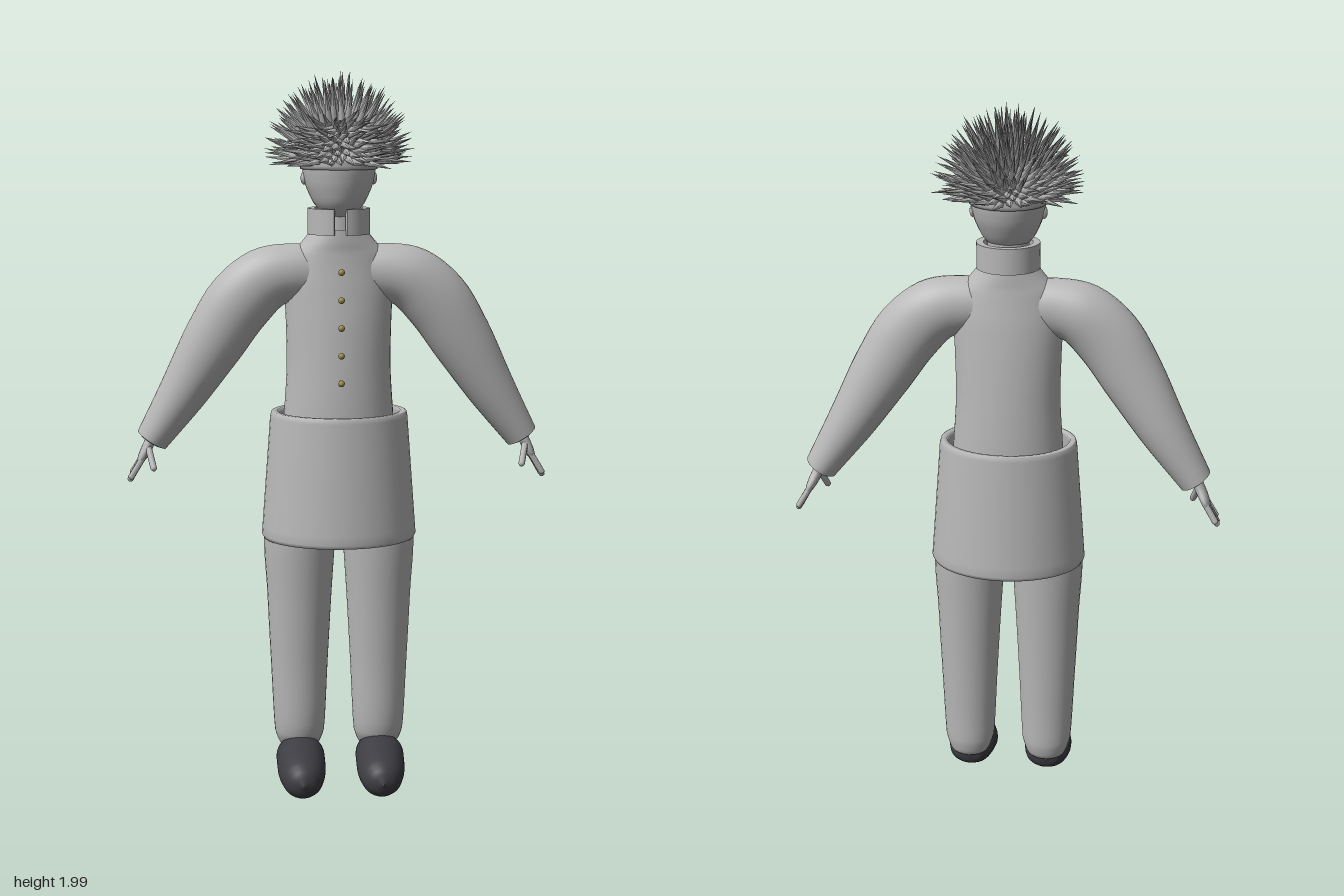
import * as THREE from 'three';
import { mergeGeometries } from 'three/addons/utils/BufferGeometryUtils.js';

const V = (x, y, z) => new THREE.Vector3(x, y, z);
const X = V(1, 0, 0), Y = V(0, 1, 0), Z = V(0, 0, 1);

// Smooth skin over elliptical rings [x, y, z, radius along u, radius across u]
function loft(rings, u, fixedDir, seg = 32) {
  const pos = [], idx = [];
  const p = rings.map(r => V(r[0], r[1], r[2]));
  rings.forEach((r, i) => {
    const dir = fixedDir ? fixedDir.clone() :
      p[Math.min(i + 1, p.length - 1)].clone().sub(p[Math.max(i - 1, 0)]).normalize();
    const v = u.clone().cross(dir).normalize();
    for (let j = 0; j < seg; j++) {
      const a = j / seg * Math.PI * 2;
      const q = p[i].clone().addScaledVector(u, r[3] * Math.cos(a)).addScaledVector(v, r[4] * Math.sin(a));
      pos.push(q.x, q.y, q.z);
      if (i < rings.length - 1) {
        const a0 = i * seg + j, b0 = i * seg + (j + 1) % seg;
        idx.push(a0, a0 + seg, b0, b0, a0 + seg, b0 + seg);
      }
    }
  });
  const g = new THREE.BufferGeometry();
  g.setAttribute('position', new THREE.Float32BufferAttribute(pos, 3));
  g.setIndex(idx);
  g.computeVertexNormals();
  return g;
}

// Resample rings along a smooth curve
function smoothRings(rings, n) {
  const a = new THREE.CatmullRomCurve3(rings.map(r => V(r[0], r[1], r[2])));
  const b = new THREE.CatmullRomCurve3(rings.map(r => V(r[3], r[4], 0)));
  return Array.from({ length: n + 1 }, (_, i) =>
    [...a.getPoint(i / n).toArray(), ...b.getPoint(i / n).toArray().slice(0, 2)]);
}

// Rounded rod between two points
function rod(from, to, r) {
  const d = to.clone().sub(from);
  const g = new THREE.CapsuleGeometry(r, d.length(), 4, 8);
  g.applyQuaternion(new THREE.Quaternion().setFromUnitVectors(Y, d.clone().normalize()));
  return g.translate(...from.clone().addScaledVector(d, 0.5).toArray());
}

function lathe(profile, z, depthScale) {
  return new THREE.LatheGeometry(profile.map(q => new THREE.Vector2(...q)), 48)
    .scale(1, 1, depthScale).translate(0, 0, z);
}

export function createModel() {
  const root = new THREE.Group();
  const grey = new THREE.MeshStandardMaterial({ color: 0xb8b8b8, side: THREE.DoubleSide });
  grey.name = 'light grey';
  const dark = new THREE.MeshStandardMaterial({ color: 0x3c3c42 });
  dark.name = 'dark shoe';
  const brass = new THREE.MeshStandardMaterial({ color: 0x9a8a45 });
  brass.name = 'dull brass';
  const add = (name, geo, mat = grey) => {
    const m = new THREE.Mesh(geo, mat);
    m.name = name;
    root.add(m);
    return m;
  };

  // Jacket body
  add('torso', loft(smoothRings([
    [0, 0.99, -0.02, 0.157, 0.112], [0, 1.08, -0.02, 0.15, 0.11], [0, 1.2, -0.02, 0.143, 0.103],
    [0, 1.32, -0.02, 0.145, 0.094], [0, 1.42, -0.02, 0.148, 0.084], [0, 1.5, -0.018, 0.13, 0.075],
    [0, 1.535, -0.016, 0.1, 0.074], [0, 1.57, -0.015, 0.072, 0.072]], 28), X, Y));

  // Open thick skirt of the jacket
  add('skirt', lathe([[0.195, 0.715], [0.21, 0.715], [0.215, 0.725], [0.213, 0.75], [0.19, 1.055], [0.187, 1.068],
    [0.183, 1.07], [0.17, 1.07], [0.167, 1.06], [0.195, 0.715]], -0.012, 0.82));

  // Neck and split standing collar
  add('neck', new THREE.CylinderGeometry(0.055, 0.06, 0.15, 32).translate(0, 1.57, -0.015));
  const gap = 0.21, start = -Math.PI / 2 + gap, end = Math.PI * 1.5 - gap;
  const ring = new THREE.Shape();
  ring.absarc(0, 0, 0.085, start, end, false);
  ring.absarc(0, 0, 0.066, end, start, true);
  add('collar', new THREE.ExtrudeGeometry(ring, { depth: 0.07, bevelEnabled: false, curveSegments: 40 })
    .rotateX(-Math.PI / 2).translate(0, 1.555, -0.015));

  // Buttons down the front
  for (let i = 0; i < 5; i++)
    add('button', new THREE.SphereGeometry(0.009, 12, 8).translate(0, 1.16 + i * 0.075, 0.1), brass);

  // Head
  add('head', loft(smoothRings([
    [0, 1.595, 0, 0.002, 0.002], [0, 1.605, 0, 0.038, 0.045], [0, 1.64, -0.003, 0.07, 0.078],
    [0, 1.69, -0.008, 0.092, 0.098], [0, 1.74, -0.01, 0.1, 0.106], [0, 1.8, -0.01, 0.09, 0.095],
    [0, 1.855, -0.01, 0.03, 0.03]], 28), X, Y));

  // Scalp cap with a rim
  const cap = [[0.094, 1.735], [0.104, 1.73], [0.107, 1.74]];
  for (let i = 1; i <= 12; i++) {
    const a = i / 12 * Math.PI / 2;
    cap.push([0.107 * Math.cos(a), 1.745 + 0.12 * Math.sin(a)]);
  }
  add('scalp', lathe(cap, -0.01, 1.05));

  // Spiky hair: swept up and back, with a low fringe pushed forward
  let seed = 7;
  const rnd = () => (seed = (seed * 16807) % 2147483647) / 2147483647;
  const spikes = [], count = 340;
  for (let i = 0; i < count; i++) {
    const y = (i + 0.5) / count, r = Math.sqrt(1 - y * y), a = i * 2.39996;
    const d = V(r * Math.cos(a), y, r * Math.sin(a));
    const fringe = d.z > 0.42;
    const dir = fringe ? V(d.x, d.y * 0.3 - 0.08, d.z) : V(d.x, d.y * 1.4, d.z - 0.15);
    dir.add(V(rnd() - 0.5, rnd() - 0.5, rnd() - 0.5).multiplyScalar(0.3)).normalize();
    const len = 0.085 + 0.03 * rnd() + (fringe ? 0 : 0.025 * y);
    const g = new THREE.ConeGeometry(0.0115, len, 5).translate(0, len / 2 - 0.008, 0);
    g.applyQuaternion(new THREE.Quaternion().setFromUnitVectors(Y, dir));
    spikes.push(g.translate(d.x * 0.104, 1.748 + d.y * 0.115, d.z * 0.109 - 0.01));
  }
  add('hair', mergeGeometries(spikes));

  for (const s of [1, -1]) {
    const side = s > 0 ? 'left' : 'right';
    add(side + 'Ear', new THREE.SphereGeometry(0.016, 12, 8).scale(0.6, 1.1, 1).translate(s * 0.094, 1.705, -0.01));

    // Sleeve, closed at the cuff
    const sleeve = smoothRings([
      [0.06, 1.45, -0.018, 0.06, 0.075], [0.13, 1.45, -0.018, 0.068, 0.079], [0.2, 1.432, -0.02, 0.075, 0.087],
      [0.27, 1.37, -0.022, 0.075, 0.092], [0.34, 1.265, -0.03, 0.073, 0.086],
      [0.425, 1.125, -0.044, 0.067, 0.068], [0.517, 0.985, -0.056, 0.054, 0.046]], 30);
    sleeve.push([0.519, 0.982, -0.056, 0.045, 0.036], [0.515, 0.992, -0.056, 0, 0]);
    const cuffDir = V(s * 0.55, -0.835, 0);
    const body = sleeve.slice(0, -2).map(r => [s * r[0], ...r.slice(1)]);
    add(side + 'Sleeve', loft(body, Z));
    add(side + 'Cuff', loft([body[body.length - 1], ...sleeve.slice(-2).map(r => [s * r[0], ...r.slice(1)])], Z, cuffDir));

    // Hand with four fingers and a thumb
    add(side + 'Palm', loft(smoothRings([
      [s * 0.512, 1.0, -0.06, 0.022, 0.016], [s * 0.528, 0.968, -0.062, 0.026, 0.015],
      [s * 0.543, 0.938, -0.07, 0.036, 0.013], [s * 0.552, 0.92, -0.073, 0.03, 0.009],
      [s * 0.555, 0.916, -0.073, 0.001, 0.001]], 14), Z, V(s * 0.44, -0.9, 0), 20));
    const tips = [0.882, 0.872, 0.872, 0.885];
    const fingers = tips.map((ty, i) => rod(V(s * 0.541, 0.938, -0.046 - i * 0.016),
      V(s * (0.579 - (ty - 0.872) * 0.4), ty, -0.046 - i * 0.02), 0.0085));
    fingers.push(rod(V(s * 0.527, 0.965, -0.045), V(s * 0.512, 0.913, -0.008), 0.009));
    add(side + 'Fingers', mergeGeometries(fingers));

    // Trouser leg
    add(side + 'Leg', loft(smoothRings([
      [s * 0.112, 0.085, -0.03, 0.002, 0.002], [s * 0.112, 0.1, -0.026, 0.05, 0.04],
      [s * 0.112, 0.15, -0.015, 0.07, 0.064], [s * 0.112, 0.35, -0.012, 0.08, 0.073],
      [s * 0.111, 0.55, -0.01, 0.09, 0.085], [s * 0.108, 0.75, -0.008, 0.1, 0.098],
      [s * 0.085, 0.92, -0.01, 0.085, 0.1], [s * 0.075, 1.02, -0.012, 0.075, 0.095]], 32), X, Y));

    // Shoe, toe down and heel raised
    add(side + 'Shoe', loft(smoothRings([
      [s * 0.112, 0.092, -0.052, 0.002, 0.002], [s * 0.112, 0.09, -0.045, 0.034, 0.026],
      [s * 0.112, 0.088, -0.015, 0.058, 0.044], [s * 0.112, 0.086, 0.04, 0.068, 0.058],
      [s * 0.111, 0.068, 0.1, 0.067, 0.06], [s * 0.11, 0.058, 0.155, 0.056, 0.053],
      [s * 0.11, 0.056, 0.186, 0.034, 0.034], [s * 0.11, 0.056, 0.2, 0.001, 0.001]], 32), X, Z), dark);
  }
  return root;
}
